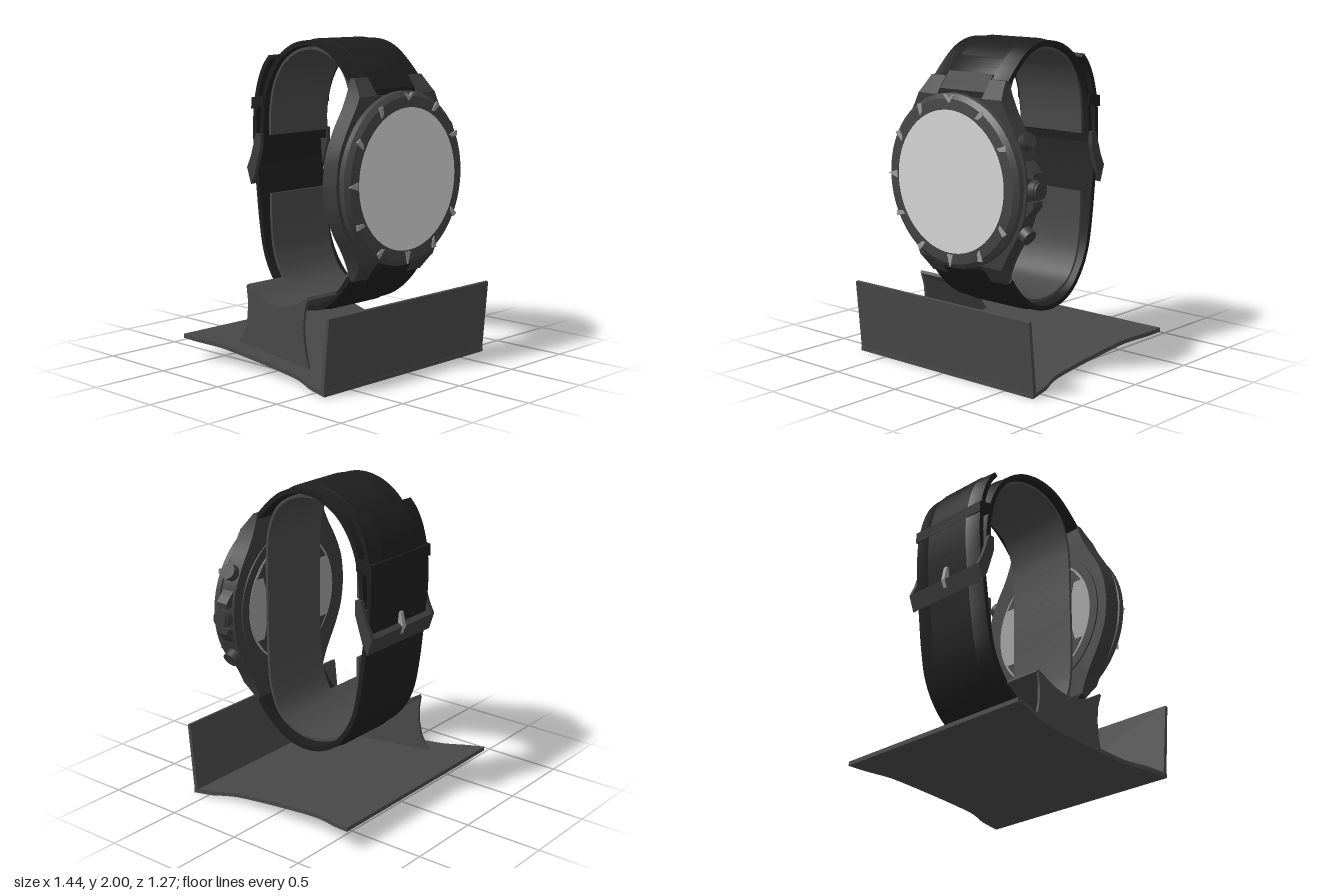
import * as THREE from 'three';
import { toCreasedNormals } from 'three/addons/utils/BufferGeometryUtils.js';

const CX = 0.033, CY = 1.175; // centre of the watch head

const paint = (name, color, double) => {
  const m = new THREE.MeshStandardMaterial({ color });
  m.name = name;
  if (double) m.side = THREE.DoubleSide;
  return m;
};

export function createModel() {
  const standGrey = paint('standGrey', 0x484848);
  const strapBlack = paint('strapBlack', 0x1e1e1e);
  const caseGrey = paint('caseGrey', 0x3c3c3c);
  const bezelGrey = paint('bezelGrey', 0x444444);
  const dialSilver = paint('dialSilver', 0xd4d4d4);
  const markerGrey = paint('markerGrey', 0x9c9c9c);

  const model = new THREE.Group();
  model.name = 'watchOnStand';
  const add = (name, geo, mat, parent = model) => {
    const mesh = new THREE.Mesh(geo, mat);
    mesh.name = name;
    parent.add(mesh);
    return mesh;
  };
  const toShape = pts => new THREE.Shape(pts.map(p => new THREE.Vector2(p[0], p[1])));
  const extrude = (pts, depth) =>
    new THREE.ExtrudeGeometry(toShape(pts), { depth, bevelEnabled: false });
  // side profile given as [z, y], extruded from x0 to x1
  const sideExtrude = (pts, x0, x1) =>
    extrude(pts, x1 - x0).rotateY(-Math.PI / 2).translate(x1, 0, 0);
  const spline = (pts, n) => new THREE.CatmullRomCurve3(
    pts.map(p => new THREE.Vector3(0, p[1], p[0]))).getPoints(n);
  const flipY = pts => pts.map(p => [p[0], 2 * CY - p[1]]);

  // sweeps a cross-section [x, outward] along a side path of [z, y] points
  function sweep(path, section, n, xMid) {
    const pts = spline(path, n), pos = [], idx = [];
    const X = new THREE.Vector3(1, 0, 0);
    let k = 0;
    pts.forEach((p, i) => {
      const T = pts[Math.min(i + 1, n)].clone().sub(pts[Math.max(i - 1, 0)]).normalize();
      const N = T.cross(X);
      const sec = section(i / n);
      k = sec.length;
      for (const [a, b] of sec) pos.push(xMid + a, p.y + N.y * b, p.z + N.z * b);
    });
    for (let i = 0; i < n; i++) for (let j = 0; j < k; j++) {
      const a = i * k + j, b = i * k + (j + 1) % k;
      idx.push(a, b, b + k, a, b + k, a + k);
    }
    for (let j = 1; j < k - 1; j++) {
      idx.push(0, j + 1, j, n * k, n * k + j, n * k + j + 1);
    }
    const g = new THREE.BufferGeometry();
    g.setAttribute('position', new THREE.Float32BufferAttribute(pos, 3));
    g.setIndex(idx);
    return toCreasedNormals(g, 0.4);
  }
  const flatSection = (w, t) => () => [[-w, -t], [w, -t], [w, t], [-w, t]];
  const strapSection = (w0, w1) => t => {
    const w = w0 + (w1 - w0) * t;
    return [[-w, -0.018], [w, -0.018], [w, 0.012], [w * 0.64, 0.017], [w * 0.6, 0.022],
      [-w * 0.6, 0.022], [-w * 0.64, 0.017], [-w, 0.012]];
  };

  // ---- stand: waisted sloping base, front lip, side plate, saddle and inner hoop
  const edge = new THREE.SplineCurve([[0.72, 0.6], [0.7, 0.46], [0.67, 0.38], [0.645, 0.27], [0.638, 0],
    [0.645, -0.3], [0.66, -0.4], [0.7, -0.53], [0.72, -0.637]]
    .map(p => new THREE.Vector2(...p))).getPoints(32).map(p => [p.x, -p.y]);
  const base = extrude([...edge, ...edge.map(p => [-p[0], p[1]]).reverse()], 0.026).rotateX(-Math.PI / 2);
  const bp = base.attributes.position;
  for (let i = 0; i < bp.count; i++) bp.setY(i, bp.getY(i) + (0.6 - bp.getZ(i)) * 0.106);
  base.computeVertexNormals();
  add('standBase', toCreasedNormals(base, 0.5), standGrey);
  add('standLip', sideExtrude([[0.595, 0], [0.637, 0.46], [0.618, 0.463], [0.57, 0.02]], -0.72, 0.72), standGrey);

  const saddle = [[0.263, 0.487], [0.2, 0.447], [0.13, 0.415], [0, 0.392], [-0.13, 0.417], [-0.2, 0.45], [-0.27, 0.49]];
  add('standSidePlate', sideExtrude([...saddle, [-0.258, 0.4], [-0.262, 0.3], [-0.28, 0.22], [-0.315, 0.16],
    [-0.365, 0.11], [0.275, 0.045], [0.25, 0.13], [0.232, 0.22], [0.226, 0.31], [0.235, 0.4]], -0.52, -0.502), standGrey);
  add('standSaddle', sweep(saddle, flatSection(0.16, 0.01), 20, -0.355), standGrey);
  add('innerHoop', sweep([[-0.367, 1.02], [-0.363, 0.8], [-0.33, 0.62], [-0.25, 0.48], [-0.13, 0.415], [0, 0.392],
    [0.13, 0.415], [0.25, 0.49], [0.32, 0.65], [0.34, 0.85], [0.342, 1.2], [0.34, 1.5], [0.32, 1.68],
    [0.25, 1.83], [0.13, 1.915], [0, 1.942], [-0.13, 1.917], [-0.25, 1.84], [-0.335, 1.7],
    [-0.367, 1.55], [-0.37, 1.39]], flatSection(0.25, 0.009), 90, CX), standGrey);

  // ---- strap: buckle half and long half with its free end
  add('upperStrap', sweep([[-0.42, 1.33], [-0.412, 1.5], [-0.385, 1.65], [-0.33, 1.775], [-0.24, 1.885], [-0.12, 1.955],
    [0, 1.978], [0.11, 1.965], [0.2, 1.925], [0.29, 1.85], [0.37, 1.765]], strapSection(0.28, 0.298), 50, CX), strapBlack);
  add('lowerStrap', sweep([[0.37, 0.585], [0.31, 0.51], [0.23, 0.435], [0.12, 0.37], [0, 0.35], [-0.11, 0.365], [-0.22, 0.42],
    [-0.32, 0.535], [-0.38, 0.66], [-0.415, 0.82], [-0.445, 1.05], [-0.468, 1.25], [-0.478, 1.42], [-0.47, 1.58],
    [-0.435, 1.73], [-0.39, 1.825], [-0.345, 1.88]], strapSection(0.315, 0.275), 70, CX), strapBlack);
  const tongue = [[0.365, 1.66], [0.455, 1.66], [0.448, 1.71], [0.37, 1.81], [0.345, 1.79]];
  add('upperStrapTongue', sideExtrude(tongue, CX - 0.18, CX + 0.18), strapBlack);
  add('lowerStrapTongue', sideExtrude(flipY(tongue), CX - 0.18, CX + 0.18), strapBlack);
  add('strapKeeper', sideExtrude([[-0.385, 1.64], [-0.385, 1.57], [-0.498, 1.55], [-0.495, 1.62]], CX - 0.292, CX + 0.292), strapBlack);

  // ---- buckle
  const buckle = new THREE.Group();
  buckle.name = 'buckle';
  model.add(buckle);
  const arm = [[-0.395, 1.4], [-0.435, 1.4], [-0.485, 1.25], [-0.52, 1.18], [-0.485, 1.075], [-0.45, 1.14], [-0.395, 1.31]];
  for (const s of [-1, 1]) {
    add('buckleArm', sideExtrude(arm, CX + s * 0.298 - 0.014, CX + s * 0.298 + 0.014), caseGrey, buckle);
  }
  add('buckleBar', sideExtrude([[-0.49, 1.2], [-0.52, 1.18], [-0.487, 1.075], [-0.47, 1.1]], CX - 0.298, CX + 0.298), caseGrey, buckle);
  add('buckleProng', sideExtrude([[-0.49, 1.27], [-0.505, 1.27], [-0.526, 1.18], [-0.505, 1.13], [-0.48, 1.15]],
    CX - 0.014, CX + 0.014), markerGrey, buckle);

  // ---- watch head, built around its own centre
  const head = new THREE.Group();
  head.name = 'watchHead';
  head.position.set(CX, CY, 0);
  model.add(head);
  const disc = (r, z0, z1) =>
    new THREE.CylinderGeometry(r, r, z1 - z0, 72).rotateX(Math.PI / 2).translate(0, 0, (z0 + z1) / 2);

  // case with four lugs that slope back at the ends
  const side = new THREE.SplineCurve([[0.53, 0], [0.508, 0.16], [0.445, 0.305], [0.372, 0.425], [0.325, 0.525], [0.3, 0.605]]
    .map(p => new THREE.Vector2(...p))).getPoints(20).map(p => [p.x, p.y]);
  const q = [...side, [0.18, 0.605], [0.18, 0.5]];
  const mir = (sx, sy) => q.map(p => [p[0] * sx, p[1] * sy]);
  const outline = [...q, ...mir(-1, 1).reverse().slice(0, -1), ...mir(-1, -1), ...mir(1, -1).reverse().slice(0, -1)];
  const body = extrude(outline, 0.11).translate(0, 0, 0.367);
  const cp = body.attributes.position;
  for (let i = 0; i < cp.count; i++) {
    if (cp.getZ(i) > 0.4) cp.setZ(i, 0.477 - Math.max(0, Math.abs(cp.getY(i)) - 0.5) * 0.75);
  }
  body.computeVertexNormals();
  add('case', toCreasedNormals(body, 0.5), caseGrey, head);

  const profile = [[0.42, 0.475], [0.505, 0.475], [0.505, 0.492], [0.525, 0.497], [0.525, 0.532], [0.495, 0.556], [0.43, 0.563], [0.425, 0.55]];
  add('bezel', toCreasedNormals(new THREE.LatheGeometry(profile.map(p => new THREE.Vector2(...p)), 72)
    .rotateX(Math.PI / 2), 0.35), bezelGrey, head);
  add('dial', disc(0.431, 0.5, 0.561), dialSilver, head);

  // hour marks set into the bezel
  for (let h = 0; h < 12; h++) {
    if (h === 3) continue;
    const pts = h === 0
      ? [[-0.042, 0.518], [0, 0.468], [0.042, 0.518], [0.022, 0.518], [0, 0.495], [-0.022, 0.518]]
      : h % 3 === 0 ? [[-0.024, 0.437], [0.024, 0.437], [0, 0.515]]
        : [[-0.02, 0.445], [0.006, 0.455], [0.026, 0.5], [-0.004, 0.515]];
    add('hourMark', extrude(pts, 0.009).translate(0, 0, 0.556).rotateZ(-h * Math.PI / 6), markerGrey, head);
  }

  // case back with a window and dark movement plates
  add('caseBack', disc(0.46, 0.357, 0.37), caseGrey, head);
  add('backWindow', disc(0.4, 0.354, 0.36), markerGrey, head);
  const plate = [[0.21, 0.1], [0.25, 0.13], [0.27, 0.2], [0.33, 0.2], [0.27, 0.28], [0.2, 0.33], [0.05, 0.36], [0.05, 0.12]];
  for (const [sx, sy] of [[1, 1], [-1, 1], [1, -1], [-1, -1]]) {
    add('movementPlate', extrude(plate.map(p => [p[0] * sx, p[1] * sy]), 0.004).translate(0, 0, 0.351), caseGrey, head);
  }

  // crown, its guards and two pushers
  const knob = (name, r, x0, x1, angle) => {
    const g = new THREE.CylinderGeometry(r, r, x1 - x0, 24).rotateZ(Math.PI / 2)
      .translate((x0 + x1) / 2, 0, 0.425).rotateZ(angle);
    add(name, g, caseGrey, head);
  };
  knob('crownStem', 0.035, 0.48, 0.55, 0);
  knob('crown', 0.057, 0.535, 0.58, 0);
  knob('crownCap', 0.05, 0.58, 0.595, 0);
  for (const s of [1, -1]) {
    knob('pusherStem', 0.034, 0.47, 0.53, s * 0.515);
    knob('pusher', 0.05, 0.528, 0.585, s * 0.515);
    const guard = [[0.46, 0.22], [0.5, 0.17], [0.535, 0.14], [0.57, 0.1], [0.57, 0.066], [0.52, 0.07], [0.48, 0.03]];
    add('crownGuard', extrude(guard.map(p => [p[0], p[1] * s]), 0.08).translate(0, 0, 0.385), caseGrey, head);
  }
  return model;
}
